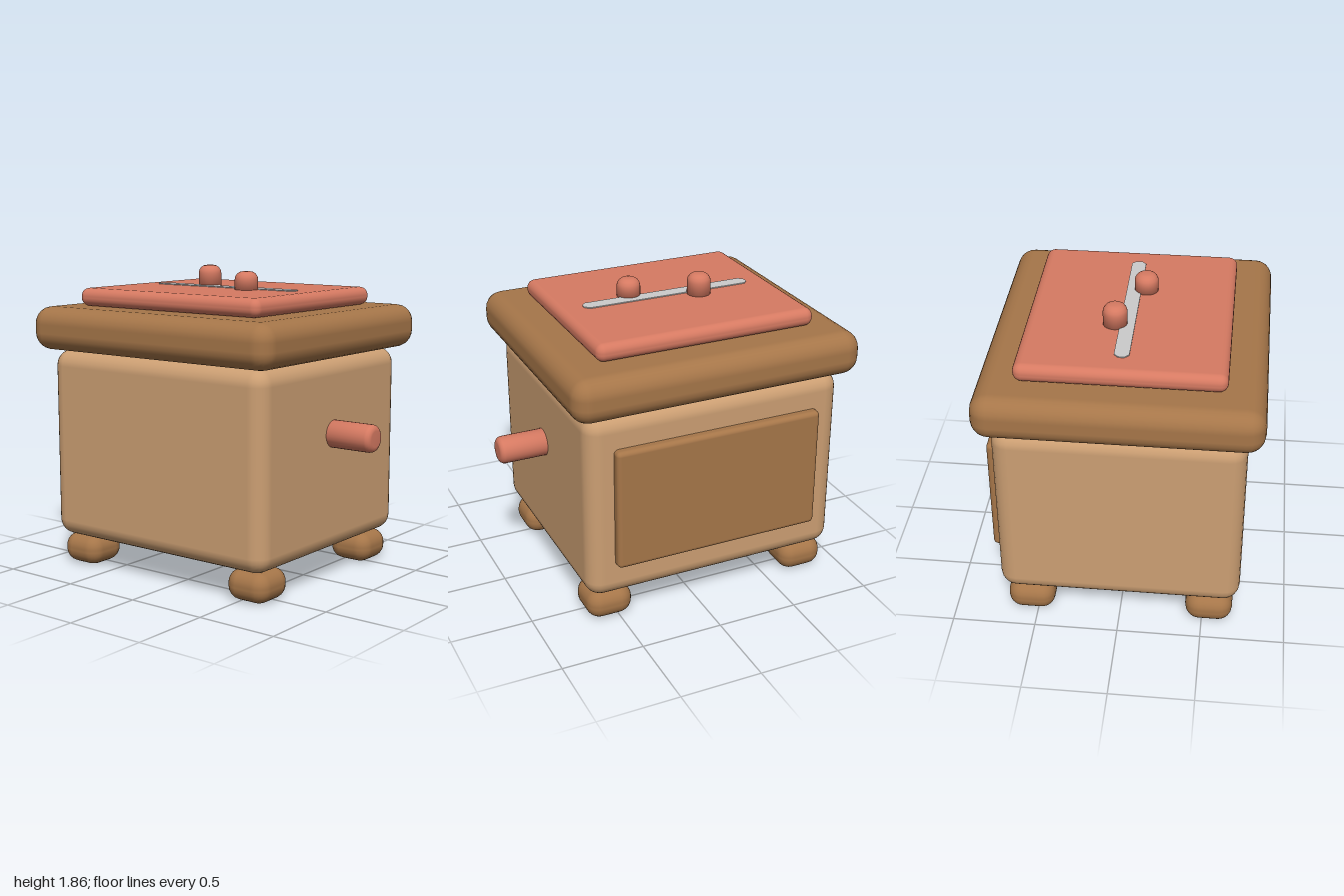
import * as THREE from 'three';
import { RoundedBoxGeometry } from 'three/addons/geometries/RoundedBoxGeometry.js';

const material = (color) => new THREE.MeshStandardMaterial({ color });

export function createModel() {
  const model = new THREE.Group();
  const tan = material(0xcc9f73);
  const wood = material(0xa67649);
  const red = material(0xd67a62);
  const grey = material(0xcccccc);

  function add(name, geometry, mat, x, y, z) {
    const mesh = new THREE.Mesh(geometry, mat);
    mesh.name = name;
    mesh.position.set(x, y, z);
    model.add(mesh);
    return mesh;
  }

  // Rounded block given by its min and max corners
  function block(name, mat, min, max, radius) {
    const size = max.map((v, i) => v - min[i]);
    const mid = max.map((v, i) => (v + min[i]) / 2);
    return add(name, new RoundedBoxGeometry(...size, 3, radius), mat, ...mid);
  }

  // Upright peg with a rounded tip, base at the origin
  function pegGeometry(radius, length, bevel) {
    const profile = [new THREE.Vector2(0, 0), new THREE.Vector2(radius, 0)];
    for (let i = 0; i <= 4; i++) {
      const a = (i / 4) * Math.PI / 2;
      profile.push(new THREE.Vector2(
        radius - bevel + bevel * Math.cos(a),
        length - bevel + bevel * Math.sin(a)));
    }
    profile.push(new THREE.Vector2(0, length));
    return new THREE.LatheGeometry(profile, 28);
  }

  // Box body, overhanging lid, top plate and back panel
  block('body', tan, [-0.91, 0.185, -0.72], [0.71, 1.355, 0.72], 0.1);
  block('lid', wood, [-1, 1.355, -0.81], [0.8, 1.62, 0.81], 0.105);
  block('topPlate', red, [-0.785, 1.62, -0.592], [0.58, 1.73, 0.592], 0.05);
  block('backPanel', wood, [-0.75, 0.4, -0.775], [0.55, 1.155, -0.69], 0.028);

  // Four squat feet
  for (const x of [-0.75, 0.55]) {
    for (const z of [-0.54, 0.54]) {
      block('foot', wood, [x - 0.142, 0, z - 0.142], [x + 0.142, 0.186, z + 0.142], 0.085);
    }
  }

  // Thin slot strip with clipped ends
  const [l, r, w, c] = [-0.635, 0.43, 0.043, 0.026];
  const strip = new THREE.Shape([
    [l + c, -w], [r - c, -w], [r, -w + c], [r, w - c],
    [r - c, w], [l + c, w], [l, w - c], [l, -w + c],
  ].map(([x, y]) => new THREE.Vector2(x, y)));
  const stripGeometry = new THREE.ExtrudeGeometry(strip, { depth: 0.02, bevelEnabled: false });
  stripGeometry.rotateX(-Math.PI / 2);
  add('slotStrip', stripGeometry, grey, 0, 1.716, -0.004);

  // Two knobs either side of the strip
  add('rearKnob', pegGeometry(0.071, 0.148, 0.05), red, -0.284, 1.71, -0.075);
  add('frontKnob', pegGeometry(0.071, 0.13, 0.05), red, 0.112, 1.71, 0.068);

  // Side handle
  const handle = add('sideHandle', pegGeometry(0.083, 0.32, 0.035), red, 0.68, 0.905, 0);
  handle.rotation.z = -Math.PI / 2;

  return model;
}
